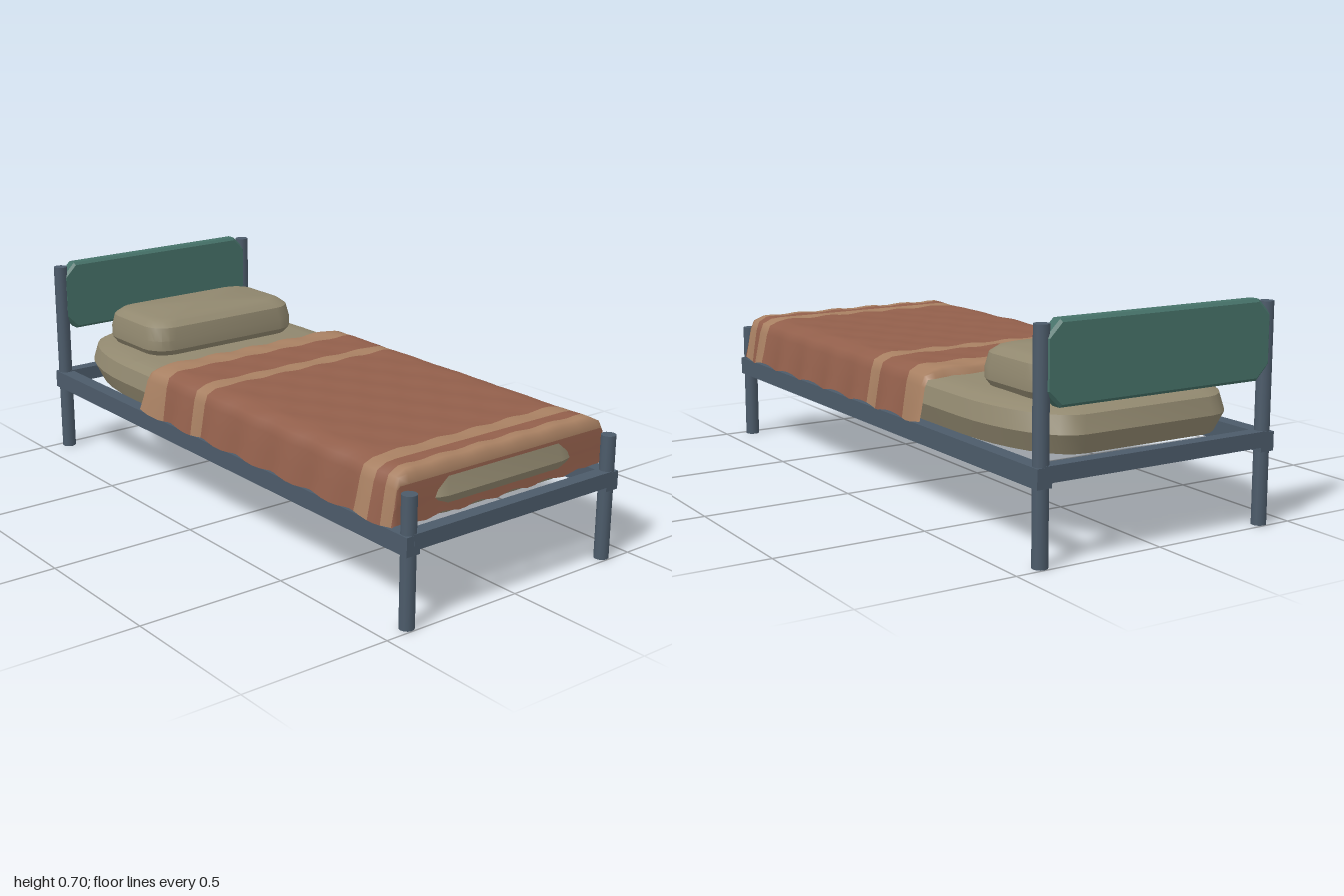
import * as THREE from 'three';
import { toCreasedNormals } from 'three/addons/utils/BufferGeometryUtils.js';

const mat = (name, color, side = THREE.FrontSide) => new THREE.MeshStandardMaterial({ name, color, side });

// Stacked rounded-rectangle outlines; each section is [y, inset]
function cushion(sections, hx, hz, rx, rz, steps = 6) {
  const pos = [], idx = [];
  const n = 4 * (steps + 1);
  for (const [y, inset] of sections) {
    for (let q = 0; q < 4; q++) {
      const sx = q === 0 || q === 3 ? 1 : -1, sz = q < 2 ? 1 : -1;
      for (let s = 0; s <= steps; s++) {
        const a = (q + s / steps) * Math.PI / 2;
        const x = sx * (hx - rx) + rx * Math.cos(a);
        const z = sz * (hz - rz) + rz * Math.sin(a);
        pos.push(x * (1 - inset / hx), y, z * (1 - inset / hz));
      }
    }
  }
  const last = sections.length - 1;
  for (let i = 0; i < last; i++) {
    for (let j = 0; j < n; j++) {
      const k = (j + 1) % n;
      const a = i * n + j, b = a + n, c = (i + 1) * n + k, d = i * n + k;
      idx.push(a, b, c, a, c, d);
    }
  }
  // Flat bottom and top
  const bottom = pos.length / 3;
  pos.push(0, sections[0][0], 0, 0, sections[last][0], 0);
  for (let j = 0; j < n; j++) {
    const k = (j + 1) % n;
    idx.push(bottom, j, k, bottom + 1, last * n + k, last * n + j);
  }
  const g = new THREE.BufferGeometry();
  g.setAttribute('position', new THREE.Float32BufferAttribute(pos, 3));
  g.setIndex(idx);
  return toCreasedNormals(g, 0.4);
}

// Draped sheet: a rippled cross-section swept along z, folded down at the foot
function blanketGeometry() {
  const skirt = [[0.442, 0.3], [0.432, 0.35], [0.42, 0.41], [0.408, 0.442], [0.375, 0.457]];
  const section = skirt.map(([x, y]) => [-x, y]);
  for (let i = -11; i <= 11; i++) section.push([i * 0.031, 0.46]);
  section.push(...skirt.slice().reverse());

  // Rows are [z, height limit]
  const rows = [[-0.362, 0.432], [-0.352, 0.452]];
  const bands = [-0.34, -0.25, -0.08, -0.02, 0.78, 0.84, 0.885, 0.915];
  for (let b = 0; b < bands.length - 1; b++) {
    const count = Math.max(1, Math.round((bands[b + 1] - bands[b]) / 0.03));
    for (let i = 0; i < count; i++) rows.push([bands[b] + (bands[b + 1] - bands[b]) * i / count, 1]);
  }
  rows.push([0.915, 1], [0.93, 0.447], [0.936, 0.42], [0.937, 0.36], [0.941, 0.303]);

  const pos = [], idx = [], w = section.length;
  for (const [z, limit] of rows) {
    for (const [x, y0] of section) {
      let y = Math.min(y0, limit);
      const drop = THREE.MathUtils.clamp((0.46 - y) / 0.16, 0, 1);
      const side = Math.abs(x) > 0.37 ? 1 : 0;
      y += drop > 0.9 ? 0.007 * Math.sin(z * 33 + 1) * side + 0.006 * Math.sin(x * 45) * (1 - side) : 0;
      if (drop < 0.1) y += 0.003 * Math.sin(x * 42 + z * 5) * Math.cos(z * 28);
      const px = x + Math.sign(x) * side * (0.002 + 0.006 * drop) * Math.sin(z * 33);
      const flare = z < -0.3 ? -0.018 * drop * side + 0.006 * Math.sin(x * 42) : 0;
      pos.push(px, y, z + flare);
    }
  }
  const g = new THREE.BufferGeometry();
  const striped = z => z < -0.25 || (z > -0.08 && z < -0.02) || (z > 0.78 && z < 0.84) || (z > 0.885 && z < 0.934);
  for (let v = 0; v < rows.length - 1; v++) {
    const start = idx.length;
    for (let u = 0; u < w - 1; u++) {
      const a = v * w + u, b = a + w;
      idx.push(a, b, b + 1, a, b + 1, a + 1);
    }
    g.addGroup(start, idx.length - start, striped((rows[v][0] + rows[v + 1][0]) / 2) ? 1 : 0);
  }
  g.setAttribute('position', new THREE.Float32BufferAttribute(pos, 3));
  g.setIndex(idx);
  g.computeVertexNormals();
  return g;
}

export function createModel() {
  const model = new THREE.Group();
  model.name = 'bed';
  const metal = mat('slate metal', 0x4c5b6a);
  const teal = mat('teal panel', 0x467269);
  const linen = mat('beige linen', 0x91886f);
  const brown = mat('brown wool', 0x925f4b, THREE.DoubleSide);
  const tan = mat('tan stripe', 0xa88062, THREE.DoubleSide);

  const add = (name, geometry, material, x = 0, y = 0, z = 0) => {
    const m = new THREE.Mesh(geometry, material);
    m.name = name;
    m.position.set(x, y, z);
    model.add(m);
    return m;
  };

  // Posts and side rails, mirrored
  for (const s of [-1, 1]) {
    const label = s > 0 ? 'left' : 'right';
    add(label + 'FrontPost', new THREE.CylinderGeometry(0.024, 0.024, 0.41, 12), metal, s * 0.405, 0.205, 0.974);
    add(label + 'BackPost', new THREE.CylinderGeometry(0.024, 0.024, 0.69, 12), metal, s * 0.405, 0.345, -0.974);
    add(label + 'SideRail', new THREE.BoxGeometry(0.05, 0.06, 1.996), metal, s * 0.407, 0.262, 0);
  }
  // Cross rails
  add('frontRail', new THREE.BoxGeometry(0.81, 0.049, 0.045), metal, 0, 0.271, 0.976);
  add('backRail', new THREE.BoxGeometry(0.81, 0.049, 0.045), metal, 0, 0.271, -0.976);

  // Headboard with cut corners and a bevelled rim
  const hw = 0.395, lo = 0.463, hi = 0.692, c = 0.042;
  const board = new THREE.Shape([
    [-hw + c, lo], [hw - c, lo], [hw, lo + c], [hw, hi - c],
    [hw - c, hi], [-hw + c, hi], [-hw, hi - c], [-hw, lo + c],
  ].map(p => new THREE.Vector2(...p)));
  add('headboard', new THREE.ExtrudeGeometry(board, {
    depth: 0.032, bevelEnabled: true, bevelThickness: 0.008, bevelSize: 0.009, bevelSegments: 1,
  }), teal, 0, 0, -0.992);

  // Bedding
  add('mattress', cushion([[0.293, 0.026], [0.355, 0], [0.41, 0.014], [0.428, 0.045], [0.435, 0.1]],
    0.412, 0.95, 0.18, 0.4, 8), linen);
  add('pillow', cushion([[0.425, 0.02], [0.455, 0], [0.49, 0], [0.535, 0.01], [0.553, 0.032], [0.56, 0.055]],
    0.312, 0.18, 0.085, 0.085, 5), linen, 0, 0, -0.66);
  add('blanket', blanketGeometry(), [brown, tan]);

  return model;
}
